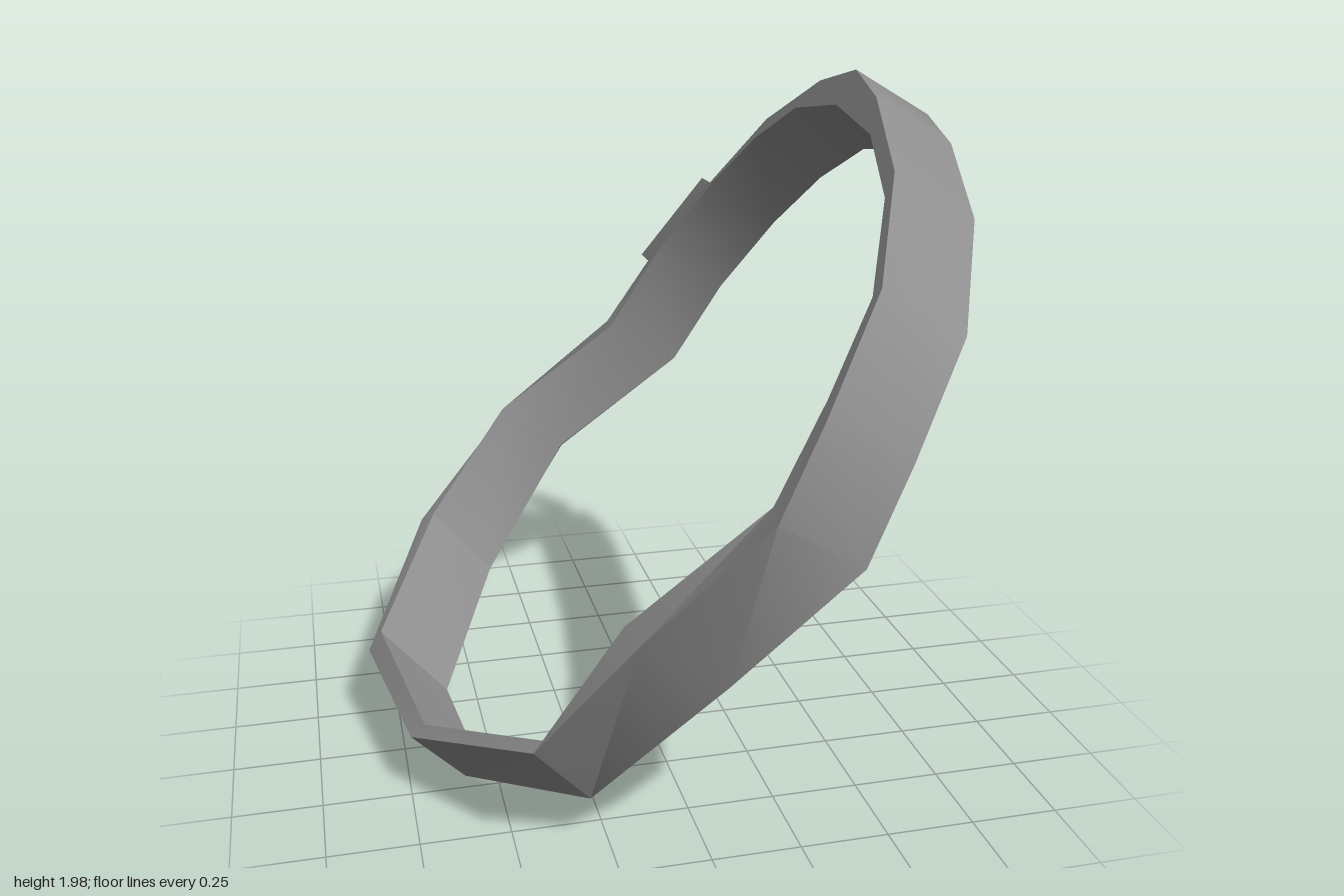
import * as THREE from 'three';
import { toCreasedNormals } from 'three/addons/utils/BufferGeometryUtils.js';

// Skins a list of equal-length cross-sections; caps are quads for folded strips
function loft(sections, closed, capped) {
  const n = sections[0].length, m = sections.length, index = [];
  const quad = (a, b, c, d) => index.push(a, b, c, a, c, d);
  for (let i = 0; i < (closed ? m : m - 1); i++) {
    const s = i * n, t = ((i + 1) % m) * n;
    for (let j = 0; j < n; j++) {
      const k = (j + 1) % n;
      quad(s + j, t + j, t + k, s + k);
    }
  }
  if (capped) {
    const e = (m - 1) * n;
    for (let k = 0; k < n / 2 - 1; k++) {
      quad(k, k + 1, n - 2 - k, n - 1 - k);
      quad(e + n - 1 - k, e + n - 2 - k, e + k + 1, e + k);
    }
  }
  const g = new THREE.BufferGeometry();
  g.setAttribute('position', new THREE.Float32BufferAttribute(sections.flat(2), 3));
  g.setIndex(index);
  return toCreasedNormals(g, 0.52);
}

export function createModel() {
  const group = new THREE.Group();
  const grey = new THREE.MeshStandardMaterial({ color: 0x8e8e8e });
  grey.name = 'grey';
  const add = (name, geometry) => {
    const mesh = new THREE.Mesh(geometry, grey);
    mesh.name = name;
    group.add(mesh);
  };

  // Upper arc lies in a tilted plane: outer z, outer y, inner z, inner y
  const arc = ([zo, yo, zi, yi]) => {
    const x = y => 0.07 + (y - 1.06) * 0.576;
    return [
      [x(yo), yo, zo], [x(yo) + 0.223, yo - 0.13, zo],
      [x(yi) + 0.223, yi - 0.13, zi], [x(yi), yi, zi],
    ];
  };
  const frontArc = [
    [0, 1.98, 0, 1.885], [0.23, 1.93, 0.32, 1.845], [0.57, 1.79, 0.6, 1.73],
    [0.84, 1.565, 0.82, 1.54], [0.94, 1.29, 0.89, 1.32], [1, 1.06, 0.93, 1.08],
  ].map(arc);
  const backArc = [
    [-0.885, 1.06, -0.82, 1.06], [-0.8, 1.32, -0.77, 1.32], [-0.64, 1.57, -0.63, 1.56],
    [-0.46, 1.79, -0.47, 1.73], [-0.21, 1.93, -0.28, 1.845],
  ].map(arc);

  // Twisted lower run: outer upper, outer lower, inner lower, inner upper corners
  const lower = [
    [[-0.22, 0.72, 0.86], [0, 0.59, 0.88], [-0.04, 0.64, 0.81], [-0.25, 0.75, 0.81]],
    [[-0.46, 0.345, 0.67], [-0.3, 0.15, 0.61], [-0.27, 0.2, 0.61], [-0.43, 0.37, 0.655]],
    [[-0.745, 0.19, 0.25], [-0.59, 0.005, 0.19], [-0.55, 0.05, 0.2], [-0.705, 0.23, 0.26]],
    [[-0.83, 0.23, -0.23], [-0.65, 0.04, -0.17], [-0.6, 0.085, -0.19], [-0.79, 0.28, -0.25]],
    [[-0.61, 0.43, -0.765], [-0.42, 0.22, -0.7], [-0.39, 0.26, -0.69], [-0.57, 0.46, -0.74]],
    [[-0.29, 0.765, -0.895], [-0.1, 0.62, -0.88], [-0.11, 0.64, -0.83], [-0.31, 0.78, -0.845]],
  ];
  add('band', loft([...frontArc, ...lower, ...backArc], true, false));

  // Folded clasp straddling the band: profile as (across the band, z offset)
  const half = [[-0.127, 0.085], [-0.127, 0], [-0.036, -0.095]];
  const inner = [[-0.03, -0.07], [-0.092, 0.005], [-0.092, 0.085]];
  const mirror = pts => pts.map(([w, z]) => [-w, z]).reverse();
  const profile = [...half, ...mirror(half), ...mirror(inner), ...inner];
  const claspEnd = (x, y, z) => profile.map(([w, d]) => [x + w * 0.866, y - w * 0.48, z + d]);
  add('clasp', loft([claspEnd(0.307, 1.222, -0.905), claspEnd(0.472, 1.507, -0.735)], false, true));

  return group;
}
